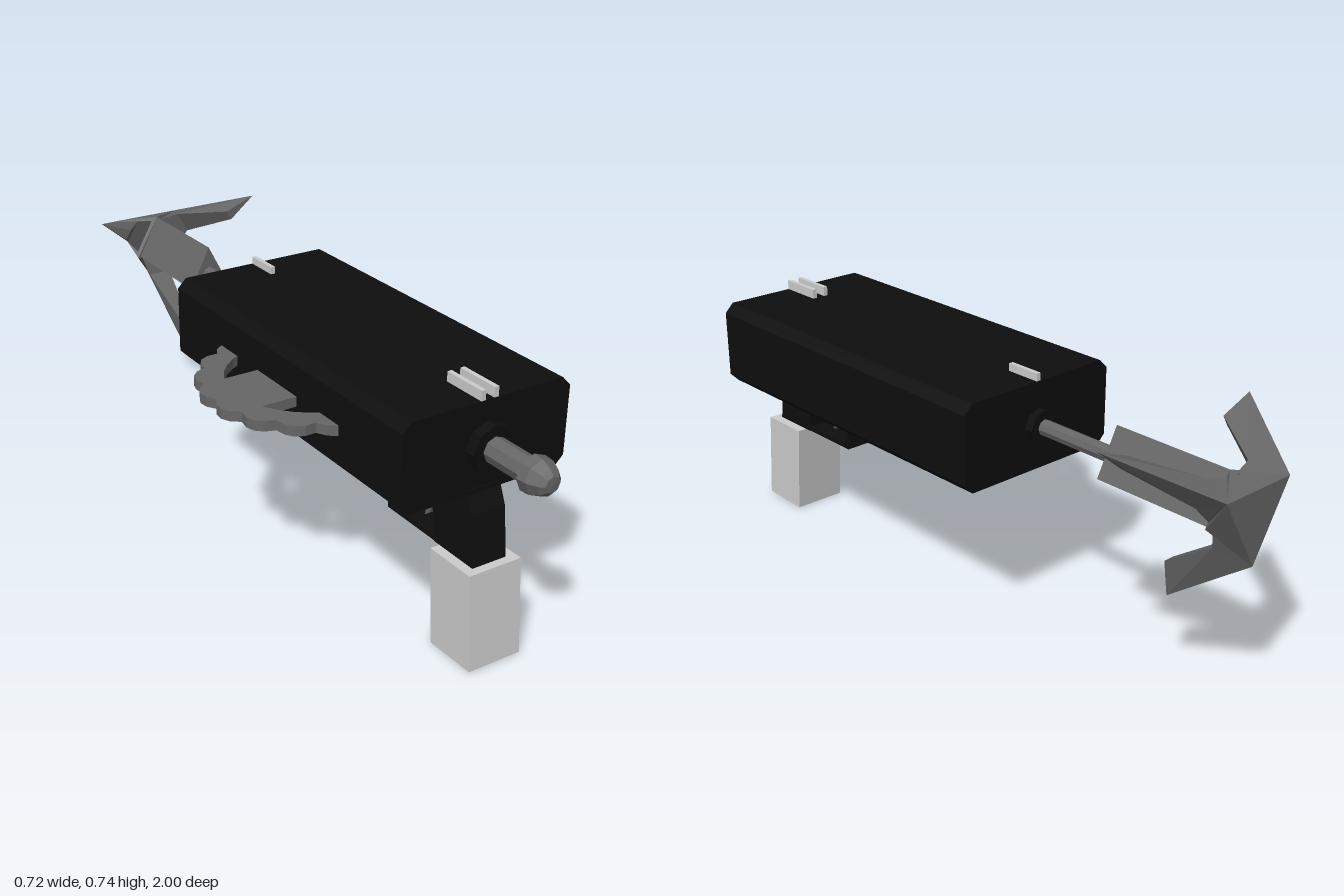
import * as THREE from 'three';
import { ConvexGeometry } from 'three/addons/geometries/ConvexGeometry.js';

const CX = 0.09, CY = 0.58; // long axis of the launcher

const material = (color) => new THREE.MeshStandardMaterial({ color, flatShading: true });
const black = material(0x0e0e0e);
const steel = material(0x666666);
const grey = material(0xcccccc);

export function createModel() {
  const model = new THREE.Group();

  const add = (name, geometry, mat, parent = model) => {
    const mesh = new THREE.Mesh(geometry, mat);
    mesh.name = name;
    parent.add(mesh);
    return mesh;
  };

  const toShape = (points) => new THREE.Shape(points.map(([a, b]) => new THREE.Vector2(a, b)));
  const extrude = (shape, depth) => new THREE.ExtrudeGeometry(shape, { depth, bevelEnabled: false });

  // Side outline given as [z, y], extruded from x0 to x1
  const sidePart = (name, points, x0, x1, mat, hole) => {
    const flip = (p) => p.map(([z, y]) => [-z, y]);
    const shape = toShape(flip(points));
    if (hole) shape.holes.push(toShape(flip(hole)));
    const geo = extrude(shape, x1 - x0).rotateY(Math.PI / 2).translate(x0, 0, 0);
    return add(name, geo, mat);
  };

  // Cylinder along z, centred on the long axis
  const zRod = (name, r, z0, z1, mat, sides = 8) => {
    const geo = new THREE.CylinderGeometry(r, r, z1 - z0, sides)
      .rotateX(Math.PI / 2).translate(CX, CY, (z0 + z1) / 2);
    return add(name, geo, mat);
  };

  const box = (name, [x0, x1], [y0, y1], [z0, z1], mat) =>
    add(name, new THREE.BoxGeometry(x1 - x0, y1 - y0, z1 - z0)
      .translate((x0 + x1) / 2, (y0 + y1) / 2, (z0 + z1) / 2), mat);

  // Housing with chamfered long edges
  const [l, r, b, t, c] = [-0.162, 0.342, 0.456, 0.7, 0.026];
  const outline = toShape([
    [l + c, b], [r - c, b], [r, b + c], [r, t - c],
    [r - c, t], [l + c, t], [l, t - c], [l, b + c],
  ]);
  add('housing', extrude(outline, 1.065).translate(0, 0, -0.298), black);

  // Sights
  box('sightLeft', [0.103, 0.116], [0.695, 0.727], [0.638, 0.767], grey);
  box('sightRight', [0.064, 0.077], [0.695, 0.727], [0.638, 0.767], grey);
  box('sightBead', [0.083, 0.096], [0.695, 0.721], [-0.297, -0.194], grey);

  // Grip, rail and trigger guard
  sidePart('grip', [
    [0.77, 0.47], [0.77, 0.456], [0.79, 0.41], [0.808, 0.272], [0.657, 0.272],
    [0.637, 0.41], [0.262, 0.41], [0.24, 0.456], [0.24, 0.47],
  ], 0.037, 0.142, black);
  sidePart('triggerGuard', [
    [0.67, 0.274], [0.67, 0.287], [0.476, 0.287], [0.478, 0.38], [0.495, 0.415],
    [0.455, 0.415], [0.46, 0.38], [0.46, 0.274],
  ], 0.037, 0.142, black);
  sidePart('trigger', [
    [0.615, 0.415], [0.607, 0.36], [0.59, 0.31], [0.572, 0.296],
    [0.574, 0.32], [0.582, 0.36], [0.578, 0.415],
  ], 0.072, 0.108, steel);
  sidePart('magazine', [
    [0.832, 0.272], [0.855, 0.004], [0.7, 0], [0.678, 0.272],
  ], 0.009, 0.17, grey);

  // Rear collar, stub and domed cap
  zRod('rearCollar', 0.065, 0.76, 0.797, black);
  zRod('rearStub', 0.035, 0.79, 0.94, steel);
  const dome = [[0, 0], [0.05, 0], [0.048, 0.028], [0.036, 0.055], [0.022, 0.068], [0, 0.07]]
    .map(([x, y]) => new THREE.Vector2(x, y));
  add('rearCap', new THREE.LatheGeometry(dome, 8).rotateX(Math.PI / 2)
    .translate(CX, CY, 0.93), steel);

  // Scalloped wheel lying flat, partly inside the housing
  const wheel = new THREE.Shape();
  const teeth = 18, steps = teeth * 4;
  for (let i = 0; i < steps; i++) {
    const a = (i / steps) * Math.PI * 2;
    const rad = [0.279, 0.296, 0.302, 0.296][i % 4];
    wheel[i ? 'lineTo' : 'moveTo'](Math.cos(a) * rad, Math.sin(a) * rad);
  }
  const a0 = Math.asin(0.095 / 0.225);
  for (const start of [a0, Math.PI + a0]) {
    const hole = new THREE.Path();
    hole.absarc(0, 0, 0.225, start, start + Math.PI - 2 * a0, false);
    hole.closePath();
    wheel.holes.push(hole);
  }
  const wheelGeo = new THREE.ExtrudeGeometry(wheel, { depth: 0.028, bevelEnabled: false, curveSegments: 6 });
  add('wheel', wheelGeo.rotateX(-Math.PI / 2).translate(-0.06, 0.561, 0.23), steel);

  // Harpoon shaft and three-sided block
  zRod('muzzleCollar', 0.046, -0.322, -0.29, black);
  zRod('shaft', 0.022, -0.6, -0.3, steel);
  const block = toShape([[-0.064, -0.04], [0.064, -0.04], [0, 0.085]]);
  add('shaftBlock', extrude(block, 0.37).translate(CX, CY, -0.94), steel);

  // Harpoon head: a twisted triangular hub with three swept barbs
  const head = new THREE.Group();
  head.name = 'harpoonHead';
  head.position.set(CX, CY, 0);
  model.add(head);
  const hubPoints = [];
  for (let i = 0; i < 3; i++) {
    const barbAngle = Math.PI / 6 + (i * Math.PI * 2) / 3;
    const polar = (a, rad, z) => new THREE.Vector3(Math.cos(a) * rad, Math.sin(a) * rad, z);
    hubPoints.push(polar(barbAngle, 0.13, -1), polar(barbAngle + Math.PI / 3, 0.085, -0.915));

    // Barb sections as [radius, half width, z]
    const hull = (name, list) => {
      const points = list.flatMap(([rad, w, z]) => w
        ? [new THREE.Vector3(rad, w, z), new THREE.Vector3(rad, -w, z)]
        : [new THREE.Vector3(rad, 0, z)]);
      add(name, new ConvexGeometry(points).rotateZ(barbAngle), steel, head);
    };
    hull('barbRoot', [[0.13, 0, -1], [0.035, 0.06, -0.925], [0.105, 0.036, -0.91]]);
    hull('barbBlade', [[0.13, 0, -1], [0.105, 0.036, -0.91], [0.31, 0, -0.755], [0.208, 0.016, -0.755]]);
  }
  add('headHub', new ConvexGeometry(hubPoints), steel, head);

  return model;
}
